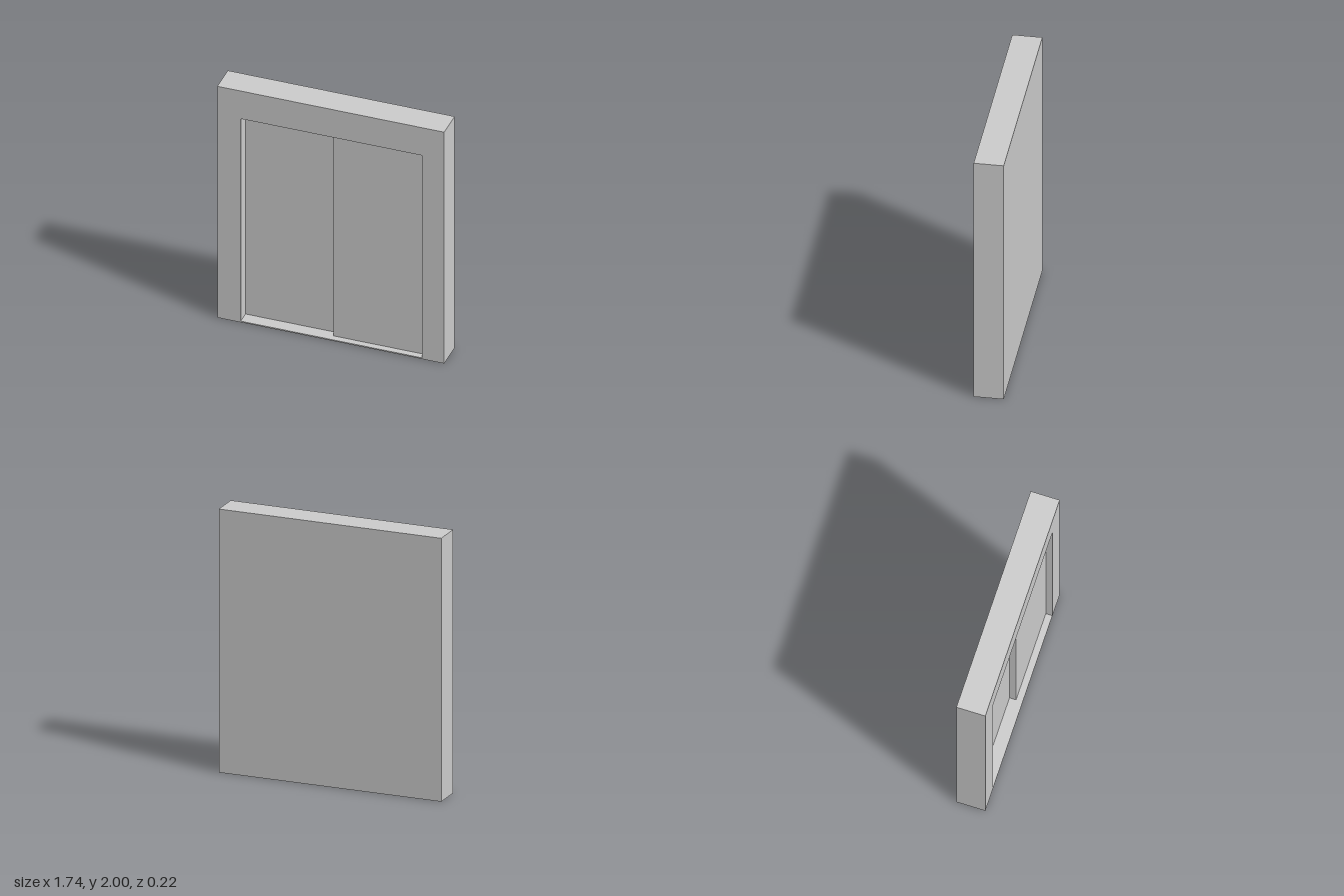
import * as THREE from 'three';

const WIDTH = 1.744, HEIGHT = 2, FRONT = 0.11, BACK = -0.11;
const WALL = -0.04; // plane where the back wall meets the frame
const OPENING = { left: -0.692, right: 0.7, bottom: 0.01, top: 1.76 };

export function createModel() {
  const model = new THREE.Group();
  const material = new THREE.MeshStandardMaterial({ color: 0xcccccc, flatShading: true });

  const add = (name, geometry) => {
    const mesh = new THREE.Mesh(geometry, material);
    mesh.name = name;
    model.add(mesh);
  };

  // Box given by its limits on each axis
  const block = (name, [x0, x1], [y0, y1], [z0, z1]) =>
    add(name, new THREE.BoxGeometry(x1 - x0, y1 - y0, z1 - z0)
      .translate((x0 + x1) / 2, (y0 + y1) / 2, (z0 + z1) / 2));

  // Surround with the door opening and a thin sill
  const { left, right, bottom, top } = OPENING;
  const outline = new THREE.Shape([
    new THREE.Vector2(-WIDTH / 2, 0), new THREE.Vector2(WIDTH / 2, 0),
    new THREE.Vector2(WIDTH / 2, HEIGHT), new THREE.Vector2(-WIDTH / 2, HEIGHT),
  ]);
  outline.holes.push(new THREE.Path([
    new THREE.Vector2(left, bottom), new THREE.Vector2(left, top),
    new THREE.Vector2(right, top), new THREE.Vector2(right, bottom),
  ]));
  add('doorFrame', new THREE.ExtrudeGeometry(outline, { depth: FRONT - WALL, bevelEnabled: false })
    .translate(0, 0, WALL));

  // Solid wall closing the back
  block('backWall', [-WIDTH / 2, WIDTH / 2], [0, HEIGHT], [BACK, WALL]);

  // Two sliding panels on separate tracks, the +x one in front
  const middle = (left + right) / 2;
  block('rearSlidingDoor', [left, middle], [bottom, top], [WALL, 0.01]);
  block('frontSlidingDoor', [middle, right], [bottom, top], [0.01, 0.06]);

  return model;
}
